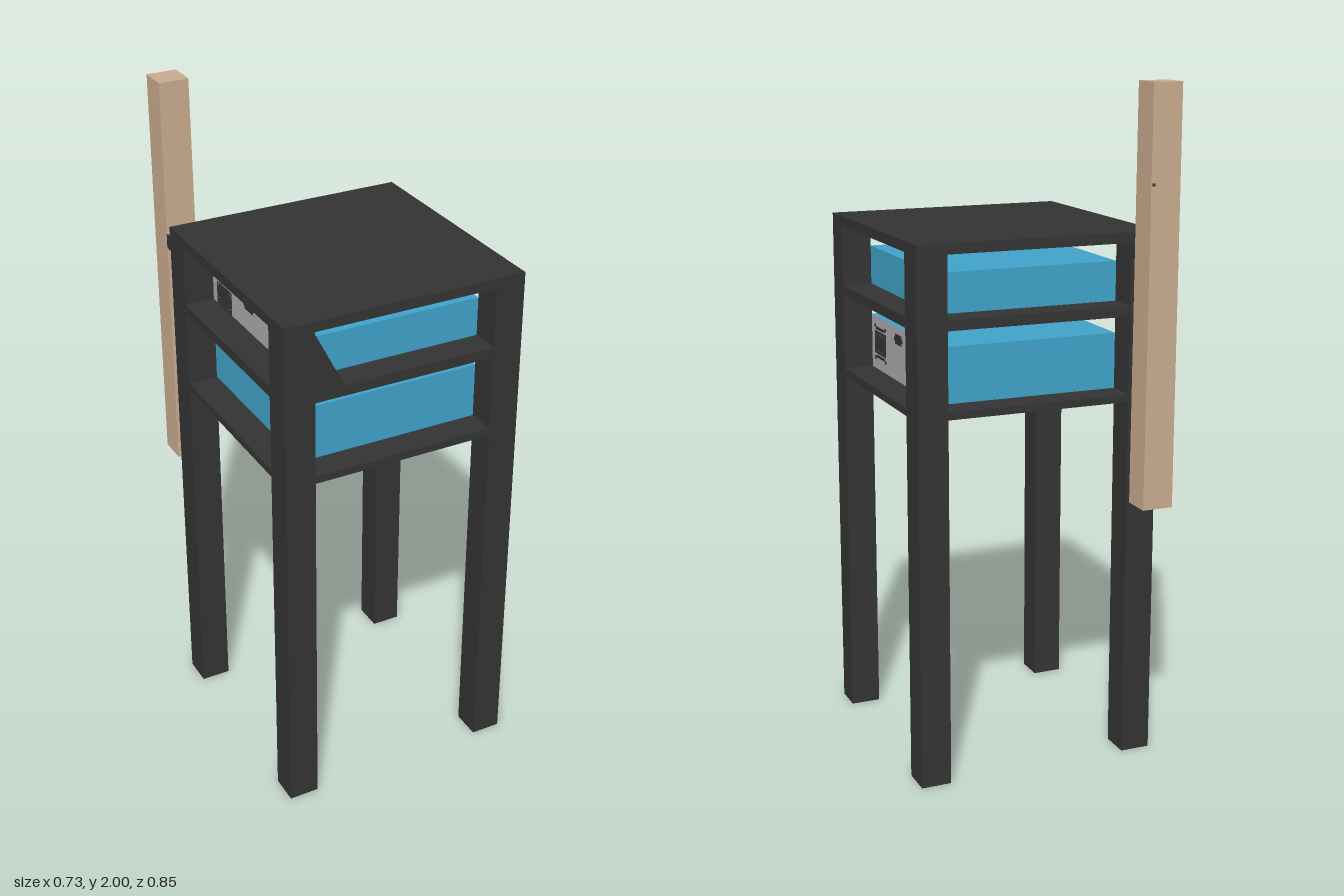
import * as THREE from 'three';

const mat = (name, hex) => {
  const m = new THREE.MeshStandardMaterial({ color: hex });
  m.name = name;
  return m;
};

export function createModel() {
  const charcoal = mat('charcoal', 0x333333);
  const blue = mat('blue', 0x3fa2c8);
  const grey = mat('grey', 0xaaaaaa);
  const tan = mat('tan wood', 0xc8ab8e);

  const model = new THREE.Group();
  model.name = 'equipmentStand';

  const add = (parent, name, geometry, material) => {
    const mesh = new THREE.Mesh(geometry, material);
    mesh.name = name;
    parent.add(mesh);
    return mesh;
  };
  // Box given by its minimum and maximum along each axis
  const block = (parent, name, [x0, x1], [y0, y1], [z0, z1], material) => {
    const g = new THREE.BoxGeometry(x1 - x0, y1 - y0, z1 - z0);
    g.translate((x0 + x1) / 2, (y0 + y1) / 2, (z0 + z1) / 2);
    return add(parent, name, g, material);
  };

  const W = 0.367, IN = 0.277, FRONT = 0.422, BACK = -0.313;
  const F_IN = 0.333, B_IN = -0.221, MID = (F_IN + B_IN) / 2;

  // Four legs
  for (const [x0, x1] of [[-W, -IN], [IN, W]])
    for (const z of [[BACK, B_IN], [F_IN, FRONT]])
      block(model, 'leg', [x0, x1], [0, 1.56], z, charcoal);

  // Table top and two shelves
  for (const [name, y0, y1] of [['tableTop', 1.55, 1.58], ['middleShelf', 1.34, 1.37], ['lowerShelf', 1.09, 1.112]])
    block(model, name, [-W, W], [y0, y1], [BACK, FRONT], charcoal);

  // Triangular brace beside the front leg
  const tri = new THREE.Shape([
    new THREE.Vector2(-0.28, 1.55), new THREE.Vector2(-0.28, 1.365), new THREE.Vector2(-0.185, 1.365),
  ]);
  const braceGeo = new THREE.ExtrudeGeometry(tri, { depth: 0.015, bevelEnabled: false });
  add(model, 'cornerBrace', braceGeo, charcoal).position.z = FRONT - 0.015;

  // Equipment unit: blue case with one grey panel on its +x side; y = 0 is the case top
  const unit = (name, top, height, turn) => {
    const g = new THREE.Group();
    g.name = name;
    const half = (F_IN - B_IN) / 2;
    block(g, 'unitCase', [-IN, IN], [-height, 0], [-half, half], [grey, blue, blue, blue, blue, blue]);
    const plate = (part, z, y, w, h, material) =>
      block(g, part, [IN, IN + 0.002], [y - h / 2, y + h / 2], [z - w / 2, z + w / 2], material);
    const oval = (part, z, y, w, h, material) => {
      const geo = new THREE.CylinderGeometry(0.5, 0.5, 0.002, 16).rotateZ(Math.PI / 2);
      const m = add(g, part, geo, material);
      m.scale.set(1, h, w);
      m.position.set(IN + 0.001, y, z);
    };
    // Fan grille: dark hub, ring of slots and corner holes
    const gz = 0.198, gy = -0.08;
    plate('fanHub', gz, gy, 0.045, 0.05, charcoal);
    for (const s of [-1, 1]) {
      for (const r of [0.031, 0.044]) {
        plate('fanSlot', gz + s * r, gy, 0.008, 0.07, charcoal);
        plate('fanSlot', gz, gy + s * r, 0.07, 0.008, charcoal);
      }
      for (const t of [-1, 1]) plate('fanScrew', gz + s * 0.047, gy + t * 0.05, 0.01, 0.01, charcoal);
    }
    // Sockets
    plate('powerSocket', 0.034, -0.037, 0.05, 0.03, charcoal);
    oval('powerSocketEnds', 0.034, -0.037, 0.072, 0.022, charcoal);
    oval('roundSocket', -0.106, -0.1, 0.025, 0.025, charcoal);
    plate('tanPort', -0.206, -0.03, 0.09, 0.036, tan);
    oval('tanPortEnds', -0.206, -0.034, 0.115, 0.036, tan);
    g.position.set(0, top, MID);
    g.rotation.y = turn;
    model.add(g);
  };
  unit('lowerUnit', 1.276, 0.17, 0);
  unit('upperUnit', 1.486, 0.135, Math.PI);

  // Wooden post, a touch wider at the foot
  const post = block(model, 'post', [-W, -0.278], [0.795, 2], [-0.425, -0.337], tan);
  const p = post.geometry.attributes.position;
  for (let i = 0; i < p.count; i++)
    if (p.getX(i) > -0.3 && p.getY(i) < 1) p.setX(i, -0.274);
  post.geometry.computeVertexNormals();
  block(model, 'postScrew', [-0.288, -0.28], [1.72, 1.728], [-0.427, -0.425], charcoal);

  // Spacer joining the post to the back leg
  block(model, 'postSpacer', [-W, -0.278], [1.505, 1.546], [-0.338, BACK], charcoal);

  return model;
}
